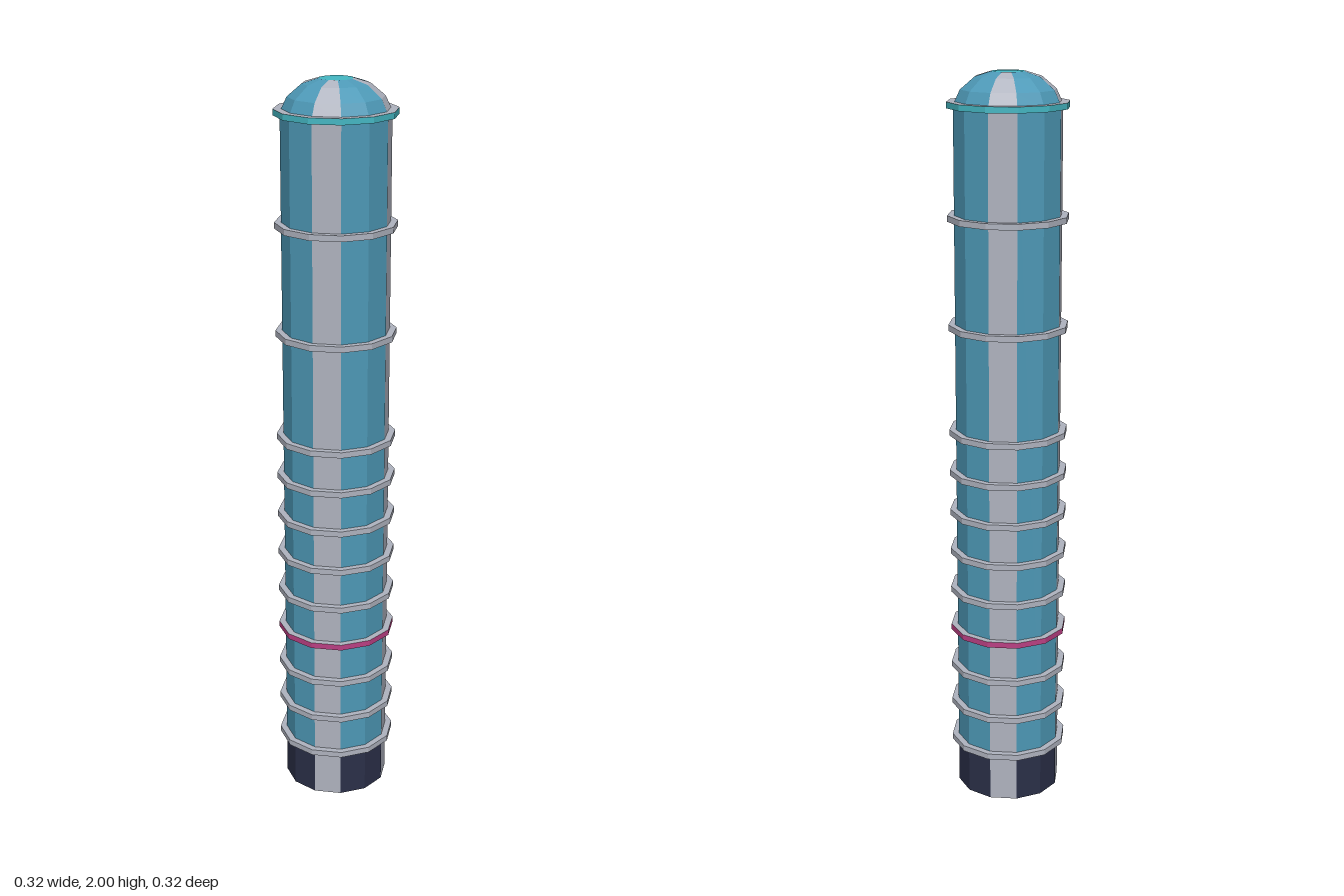
import * as THREE from 'three';
import { mergeGeometries } from 'three/addons/utils/BufferGeometryUtils.js';

const material = (name, color) => {
  const m = new THREE.MeshStandardMaterial({ color });
  m.name = name;
  return m;
};

const SIDES = 12;
const STEP = (Math.PI * 2) / SIDES;
const BODY = 0.143;
const RING = 0.161;

// Faceted normals
function facet(geometry) {
  const g = geometry.index ? geometry.toNonIndexed() : geometry;
  g.computeVertexNormals();
  return g;
}

// Flat panels of a turned profile, one per chosen side
function panels(profile, wanted) {
  const points = profile.map(([r, y]) => new THREE.Vector2(r, y));
  const parts = [];
  for (let i = 0; i < SIDES; i++) {
    if (wanted(i)) parts.push(facet(new THREE.LatheGeometry(points, 1, i * STEP, STEP)));
  }
  return mergeGeometries(parts);
}

export function createModel() {
  const silver = material('silver', 0xb0b4c0);
  const blue = material('blue', 0x4e9ab8);
  const navy = material('navy', 0x2b3049);
  const cyan = material('cyan', 0x45b8c4);
  const pink = material('pink', 0xbb4084);

  const group = new THREE.Group();
  group.name = 'tower';
  const add = (name, geometry, mat) => {
    const mesh = new THREE.Mesh(geometry, mat);
    mesh.name = name;
    group.add(mesh);
    return mesh;
  };

  const isStripe = (i) => i % 3 === 0;
  const isGlass = (i) => !isStripe(i);

  // Shaft: silver stripes run to the ground, blue panels stop at the plinth
  add('shaftStripes', panels([[BODY, 0], [BODY, 1.915]], isStripe), silver);
  add('shaftPanels', panels([[BODY, 0.13], [BODY, 1.915]], isGlass), blue);
  add('plinthPanels', panels([[BODY, 0], [BODY, 0.13]], isGlass), navy);
  add('underside', new THREE.CircleGeometry(BODY, SIDES).rotateX(Math.PI / 2), navy);

  // Dome with the stripes carried on, and a bright cap
  const dome = [[BODY, 1.915], [0.125, 1.953], [0.087, 1.985], [0.045, 1.998]];
  add('domeStripes', panels(dome, isStripe), silver);
  add('domePanels', panels(dome, isGlass), blue);
  add('domeCap', panels([[0.045, 1.998], [0, 2]], () => true), cyan);

  // Ledges: close together below, wide apart above
  const heights = [];
  for (let i = 0; i <= 8; i++) heights.push(0.137 + i * 0.1135);
  for (let i = 1; i <= 3; i++) heights.push(1.045 + i * 0.29);
  heights.forEach((y, i) => {
    const rim = i === 3 ? pink : i === heights.length - 1 ? cyan : silver;
    const ledge = facet(new THREE.CylinderGeometry(RING, RING, 0.016, SIDES));
    add('ledge' + (i + 1), ledge, [rim, silver, silver]).position.y = y;
  });

  return group;
}
